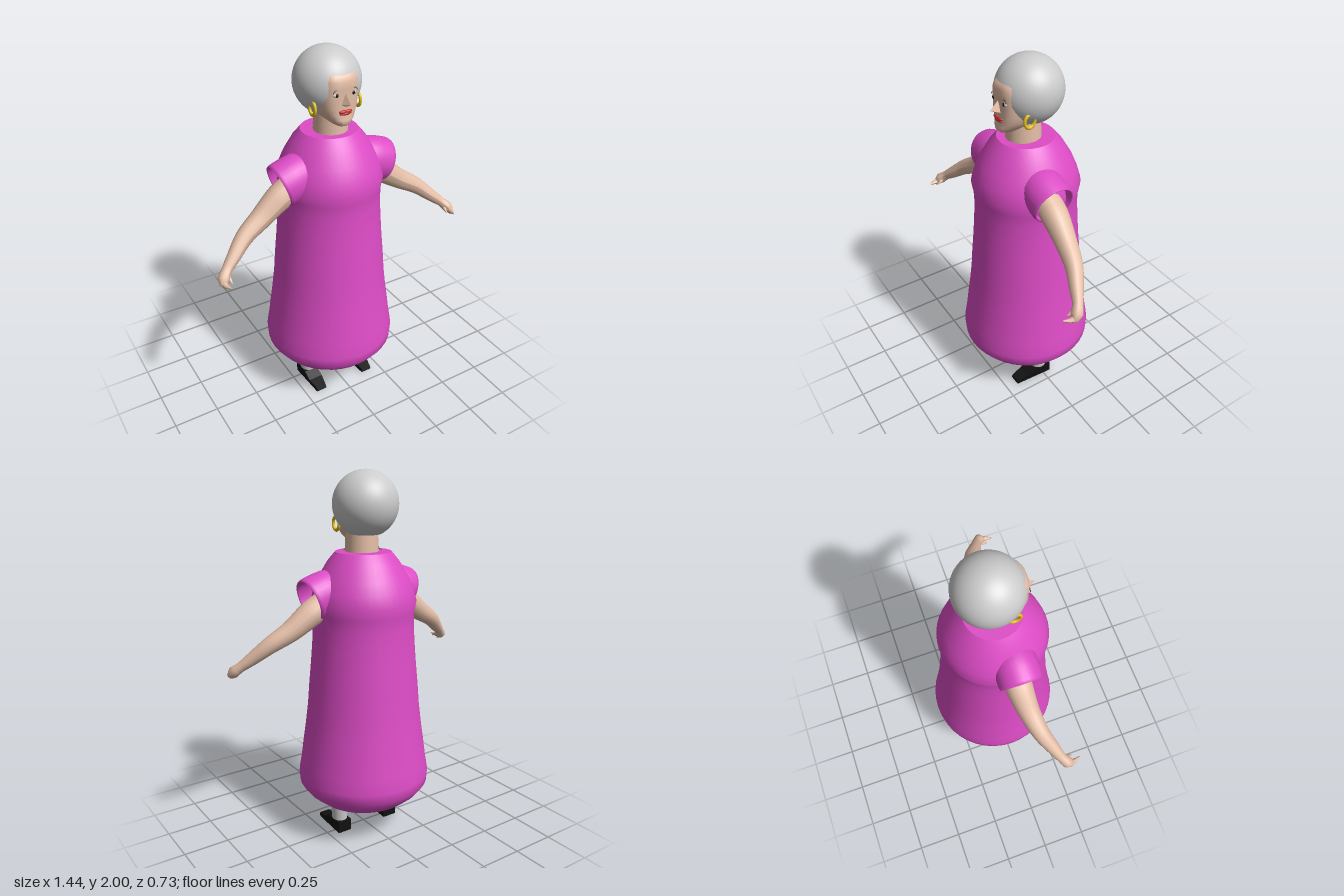
import * as THREE from 'three';

const mat = (color, side = THREE.FrontSide) =>
  new THREE.MeshStandardMaterial({ color, side, roughness: 0.8 });
const SKIN = mat(0xe3bda6), DRESS = mat(0xdd4cc6, THREE.DoubleSide), GREY = mat(0xcccccc);
const BLACK = mat(0x111111), GOLD = mat(0xe3c21c), RED = mat(0xc83030), WHITE = mat(0xf2f2f2), BROW = mat(0x5a4038);

const v3 = (p) => new THREE.Vector3(...p);
const v2 = (p) => new THREE.Vector2(...p);

function add(parent, name, geo, material, pos = [0, 0, 0], scale = [1, 1, 1]) {
  const m = new THREE.Mesh(geo, material);
  m.name = name;
  m.position.set(...pos);
  m.scale.set(...scale);
  parent.add(m);
  return m;
}

// Tube along a curve whose radius follows the list of radii
function limb(points, radii, segs = 28, sides = 14) {
  const curve = new THREE.CatmullRomCurve3(points.map(v3));
  const geo = new THREE.TubeGeometry(curve, segs, 1, sides);
  const p = geo.attributes.position, v = new THREE.Vector3();
  for (let i = 0; i <= segs; i++) {
    const u = i / segs, c = curve.getPointAt(u);
    const t = curve.getUtoTmapping(u) * (radii.length - 1);
    const k = Math.min(Math.floor(t), radii.length - 2);
    const r = THREE.MathUtils.lerp(radii[k], radii[k + 1], t - k);
    for (let j = 0; j <= sides; j++) {
      const n = i * (sides + 1) + j;
      v.fromBufferAttribute(p, n).sub(c).multiplyScalar(r).add(c);
      p.setXYZ(n, v.x, v.y, v.z);
    }
  }
  geo.computeVertexNormals();
  return geo;
}

// Face skin from boxy oval rings: [y, half width, front z, back z]
function faceGeometry(rings, n = 40) {
  const pos = [], idx = [];
  const round = (t) => Math.sign(t) * Math.abs(t) ** (2 / 3);
  rings.forEach(([y, w, front, back], i) => {
    for (let j = 0; j < n; j++) {
      const a = (j / n) * Math.PI * 2, c = round(Math.cos(a));
      pos.push(w * round(Math.sin(a)), y, c > 0 ? c * front : -c * back);
      if (i === rings.length - 1) continue;
      const p = i * n + j, q = i * n + ((j + 1) % n);
      idx.push(p, q, q + n, p, q + n, p + n);
    }
  });
  const geo = new THREE.BufferGeometry();
  geo.setAttribute('position', new THREE.Float32BufferAttribute(pos, 3));
  geo.setIndex(idx);
  geo.computeVertexNormals();
  return geo;
}

// Wedge nose: bridge, tip and two nostril corners
function noseGeometry() {
  const bridge = [0, 1.815, 0.15], tip = [0, 1.768, 0.2];
  const l = [0.028, 1.752, 0.145], r = [-0.028, 1.752, 0.145], base = [0, 1.75, 0.168];
  const tris = [bridge, tip, l, bridge, r, tip, tip, base, l, tip, r, base];
  const geo = new THREE.BufferGeometry();
  geo.setAttribute('position', new THREE.Float32BufferAttribute(tris.flat(), 3));
  geo.computeVertexNormals();
  return geo;
}

function buildDress(g) {
  const profile = [[0.21, 0.165], [0.265, 0.195], [0.325, 0.245], [0.362, 0.295], [0.366, 0.35],
    [0.352, 0.43], [0.34, 0.52], [0.325, 0.62], [0.31, 0.74], [0.3, 0.86], [0.288, 0.98], [0.278, 1.1],
    [0.272, 1.2], [0.274, 1.27], [0.284, 1.325], [0.265, 1.39], [0.24, 1.45], [0.19, 1.535], [0.148, 1.585]];
  add(g, 'dress', new THREE.LatheGeometry(profile.map(v2), 40), DRESS);
  const top = add(g, 'neckline', new THREE.CircleGeometry(0.148, 40), DRESS, [0, 1.585, 0]);
  top.rotation.x = -Math.PI / 2;
  const hem = add(g, 'dressUnderside', new THREE.CircleGeometry(0.21, 40), DRESS, [0, 0.165, 0]);
  hem.rotation.x = Math.PI / 2;
}

function buildHead(g) {
  add(g, 'neck', new THREE.CylinderGeometry(0.082, 0.09, 0.17, 28), SKIN, [0, 1.635, 0.015], [1, 1, 1.05]);
  const collar = [[0.085, 1.615], [0.09, 1.6], [0.105, 1.589], [0.11, 1.584]];
  add(g, 'neckBase', new THREE.LatheGeometry(collar.map(v2), 28), SKIN, [0, 0, 0.01]);
  add(g, 'hair', new THREE.SphereGeometry(0.172, 48, 32, 0, Math.PI * 2, 0, 2.65), GREY, [0, 1.828, -0.02]);
  add(g, 'face', faceGeometry([
    [1.642, 0.002, 0.09, 0.01], [1.645, 0.038, 0.15, 0.04], [1.66, 0.056, 0.165, 0.06],
    [1.68, 0.078, 0.163, 0.08], [1.705, 0.094, 0.156, 0.09], [1.74, 0.106, 0.158, 0.09],
    [1.79, 0.11, 0.154, 0.09], [1.83, 0.109, 0.157, 0.09], [1.865, 0.106, 0.155, 0.08],
    [1.89, 0.1, 0.144, 0.07], [1.92, 0.08, 0.11, 0.05]]), SKIN);
  add(g, 'nose', noseGeometry(), SKIN);
  const ball = new THREE.SphereGeometry(1, 16, 12);
  add(g, 'lowerLip', ball, RED, [0, 1.712, 0.153], [0.034, 0.01, 0.014]);
  for (const s of [1, -1]) {
    add(g, 'upperLip', ball, RED, [s * 0.015, 1.722, 0.154], [0.022, 0.009, 0.013]);
    add(g, 'eye', ball, WHITE, [s * 0.046, 1.806, 0.146], [0.019, 0.01, 0.008]);
    add(g, 'pupil', ball, BLACK, [s * 0.046, 1.806, 0.152], [0.008, 0.009, 0.005]);
    const brow = add(g, 'brow', new THREE.TorusGeometry(0.02, 0.002, 6, 14, Math.PI * 0.8), BROW, [s * 0.048, 1.812, 0.151]);
    brow.rotation.z = Math.PI * 0.1;
    // Hoop earrings hang beside the cheeks
    const hoop = add(g, 'earring', new THREE.TorusGeometry(0.028, 0.008, 10, 28), GOLD, [s * 0.128, 1.73, 0.06], [1, 1.2, 1]);
    hoop.rotation.y = Math.PI / 2;
  }
}

function buildArm(g, s) {
  // Short flared sleeve, open at the outer end
  const profile = [[0.1, -0.02], [0.116, 0.02], [0.12, 0.07], [0.119, 0.135], [0.114, 0.151], [0.106, 0.148], [0.105, 0.08]];
  const sleeve = add(g, 'sleeve', new THREE.LatheGeometry(profile.map(v2), 32), DRESS, [s * 0.17, 1.395, 0.038], [1, 1, 0.95]);
  sleeve.quaternion.setFromUnitVectors(new THREE.Vector3(0, 1, 0), new THREE.Vector3(s * 0.95, -0.317, 0).normalize());

  const side = (pts) => pts.map(([x, y, z]) => [s * x, y, z]);
  add(g, 'arm', limb(side([[0.2, 1.345, 0.025], [0.31, 1.282, 0.03], [0.42, 1.205, 0.043], [0.53, 1.14, 0.07],
    [0.61, 1.075, 0.11], [0.665, 1.03, 0.14], [0.698, 0.995, 0.17], [0.7, 0.965, 0.195]]),
  [0.07, 0.07, 0.056, 0.045, 0.035, 0.026, 0.032, 0.004]), SKIN);
  add(g, 'finger', limb(side([[0.7, 0.995, 0.165], [0.698, 0.985, 0.2], [0.686, 0.99, 0.24]]),
    [0.02, 0.014, 0.003], 10, 8), SKIN);
  add(g, 'thumb', limb(side([[0.68, 1.015, 0.15], [0.668, 1.0, 0.175], [0.665, 0.985, 0.2]]),
    [0.016, 0.011, 0.003], 10, 8), SKIN);
}

function buildLeg(g, s) {
  add(g, 'sock', new THREE.CylinderGeometry(0.05, 0.041, 0.15, 20), GREY, [s * 0.158, 0.125, 0.012], [1, 1, 1.1]);
  // Shoe: side profile extruded across its width, toe narrowed
  const outline = [[-0.045, 0], [0.178, 0], [0.186, 0.012], [0.18, 0.026], [0.11, 0.042], [0.055, 0.066], [-0.045, 0.066]];
  const geo = new THREE.ExtrudeGeometry(new THREE.Shape(outline.map(v2)), { depth: 0.084, bevelEnabled: false });
  geo.translate(0, 0, -0.042).rotateY(-Math.PI / 2);
  const p = geo.attributes.position;
  for (let i = 0; i < p.count; i++) {
    if (p.getZ(i) > 0.15) p.setX(i, p.getX(i) * 0.7);
  }
  geo.computeVertexNormals();
  add(g, 'shoe', geo, BLACK, [s * 0.158, 0, 0]);
}

export function createModel() {
  const model = new THREE.Group();
  model.name = 'womanInDress';
  const part = (name, build, ...args) => {
    const g = new THREE.Group();
    g.name = name;
    build(g, ...args);
    model.add(g);
  };
  part('dressBody', buildDress);
  part('head', buildHead);
  for (const [name, s] of [['left', 1], ['right', -1]]) {
    part(name + 'Arm', buildArm, s);
    part(name + 'Leg', buildLeg, s);
  }
  return model;
}
